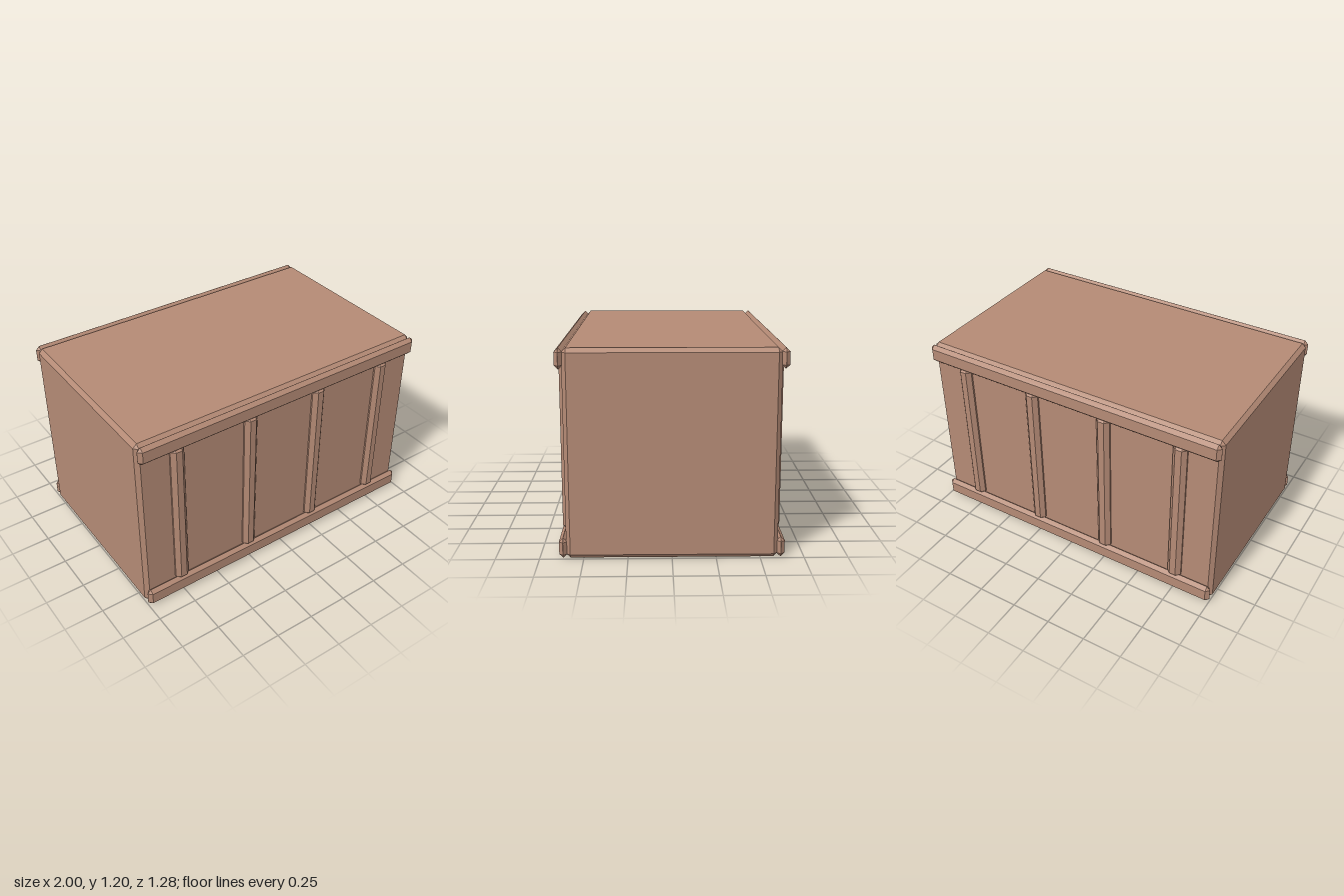
import * as THREE from 'three';
import { ConvexGeometry } from 'three/addons/geometries/ConvexGeometry.js';

// Box with flat chamfered edges: each corner is cut back along all three axes
function chamferBox(w, h, d, c) {
  const points = [];
  for (const sx of [-1, 1]) for (const sy of [-1, 1]) for (const sz of [-1, 1]) {
    const x = w / 2, y = h / 2, z = d / 2;
    points.push(
      new THREE.Vector3(sx * x, sy * (y - c), sz * (z - c)),
      new THREE.Vector3(sx * (x - c), sy * y, sz * (z - c)),
      new THREE.Vector3(sx * (x - c), sy * (y - c), sz * z));
  }
  return new ConvexGeometry(points);
}

export function createModel() {
  const group = new THREE.Group();
  const wood = new THREE.MeshStandardMaterial({ color: 0xb48a75 });
  wood.name = 'brown wood';

  const add = (name, geometry, x, y, z) => {
    const mesh = new THREE.Mesh(geometry, wood);
    mesh.name = name;
    mesh.position.set(x, y, z);
    group.add(mesh);
  };

  // Crate body
  add('body', chamferBox(2, 1.2, 1.2, 0.024), 0, 0.6, 0);

  // Rails and upright battens on the front and back
  const rail = chamferBox(2, 0.118, 0.046, 0.0225);
  const batten = chamferBox(0.09, 1.01, 0.06, 0.025);
  for (const [side, s] of [['front', 1], ['back', -1]]) {
    add(side + 'TopRail', rail, 0, 1.141, s * 0.617);
    add(side + 'BottomRail', rail, 0, 0.059, s * 0.617);
    for (const x of [-0.75, -0.25, 0.25, 0.75]) {
      add(side + 'Batten', batten, x, 0.6, s * 0.607);
    }
  }
  return group;
}
